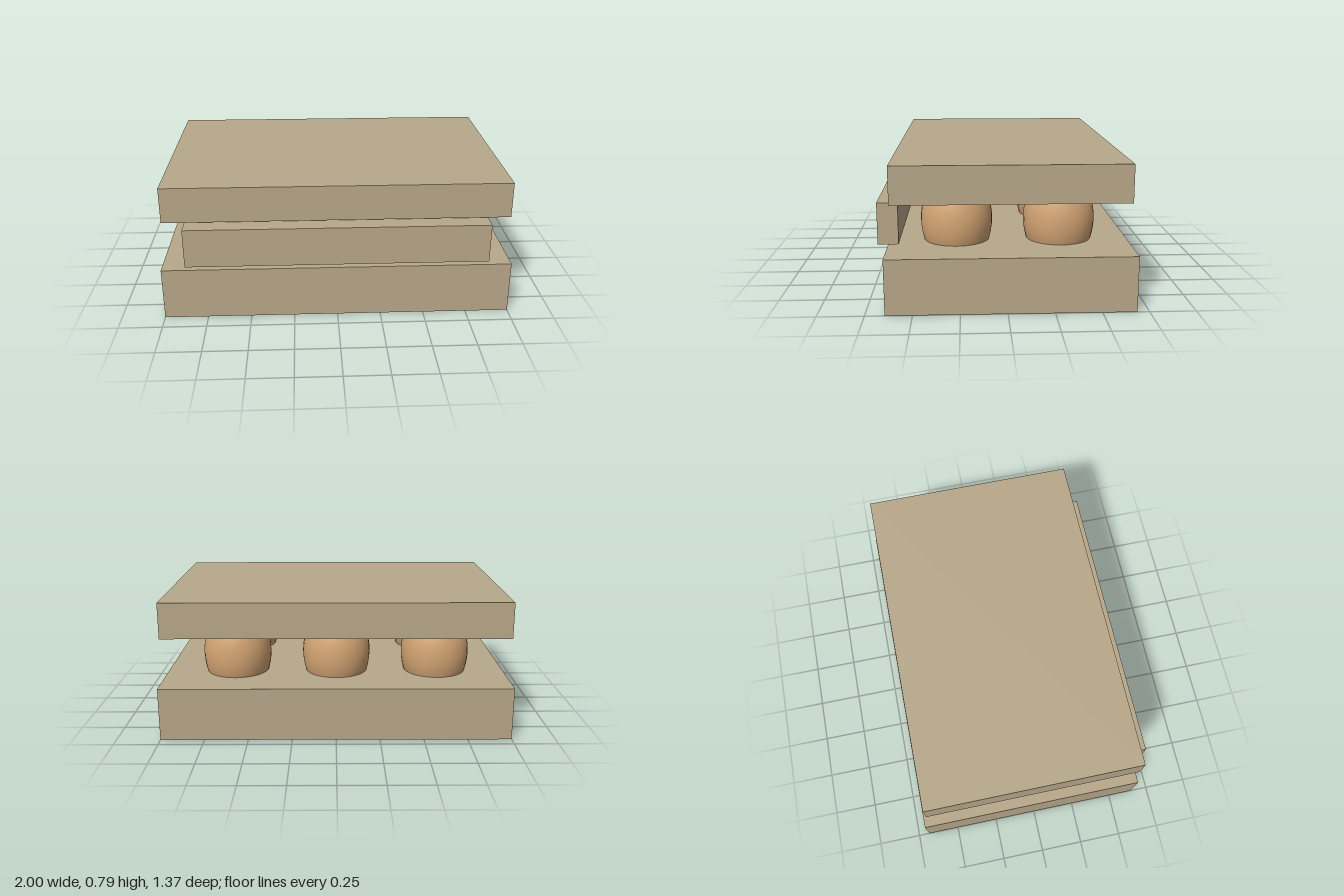
import * as THREE from 'three';

export function createModel() {
  const group = new THREE.Group();
  const cardboard = new THREE.MeshStandardMaterial({ name: 'cardboard', color: 0xb8a88a });
  const eggshell = new THREE.MeshStandardMaterial({ name: 'eggshell', color: 0xd4a574 });

  // Slab spanning +-halfWidth in x and the given y and z ranges
  const slab = (name, halfWidth, [y0, y1], [z0, z1]) => {
    const mesh = new THREE.Mesh(new THREE.BoxGeometry(halfWidth * 2, y1 - y0, z1 - z0), cardboard);
    mesh.name = name;
    mesh.position.set(0, (y0 + y1) / 2, (z0 + z1) / 2);
    group.add(mesh);
  };

  // Carton
  slab('cartonBase', 1, [0, 0.305], [-0.685, 0.645]);
  slab('cartonLid', 0.98, [0.585, 0.79], [-0.647, 0.609]);
  slab('frontFlap', 0.857, [0.346, 0.572], [0.574, 0.685]);

  // Two rows of three eggs, resting in the base and reaching into the lid
  const eggGeometry = new THREE.SphereGeometry(0.2, 32, 24).scale(1, 1.42, 1);
  const eggs = new THREE.Group();
  eggs.name = 'eggs';
  for (const z of [0.27, -0.305]) {
    for (const x of [-0.592, -0.003, 0.588]) {
      const egg = new THREE.Mesh(eggGeometry, eggshell);
      egg.name = 'egg';
      egg.position.set(x, 0.42, z);
      eggs.add(egg);
    }
  }
  group.add(eggs);
  return group;
}
